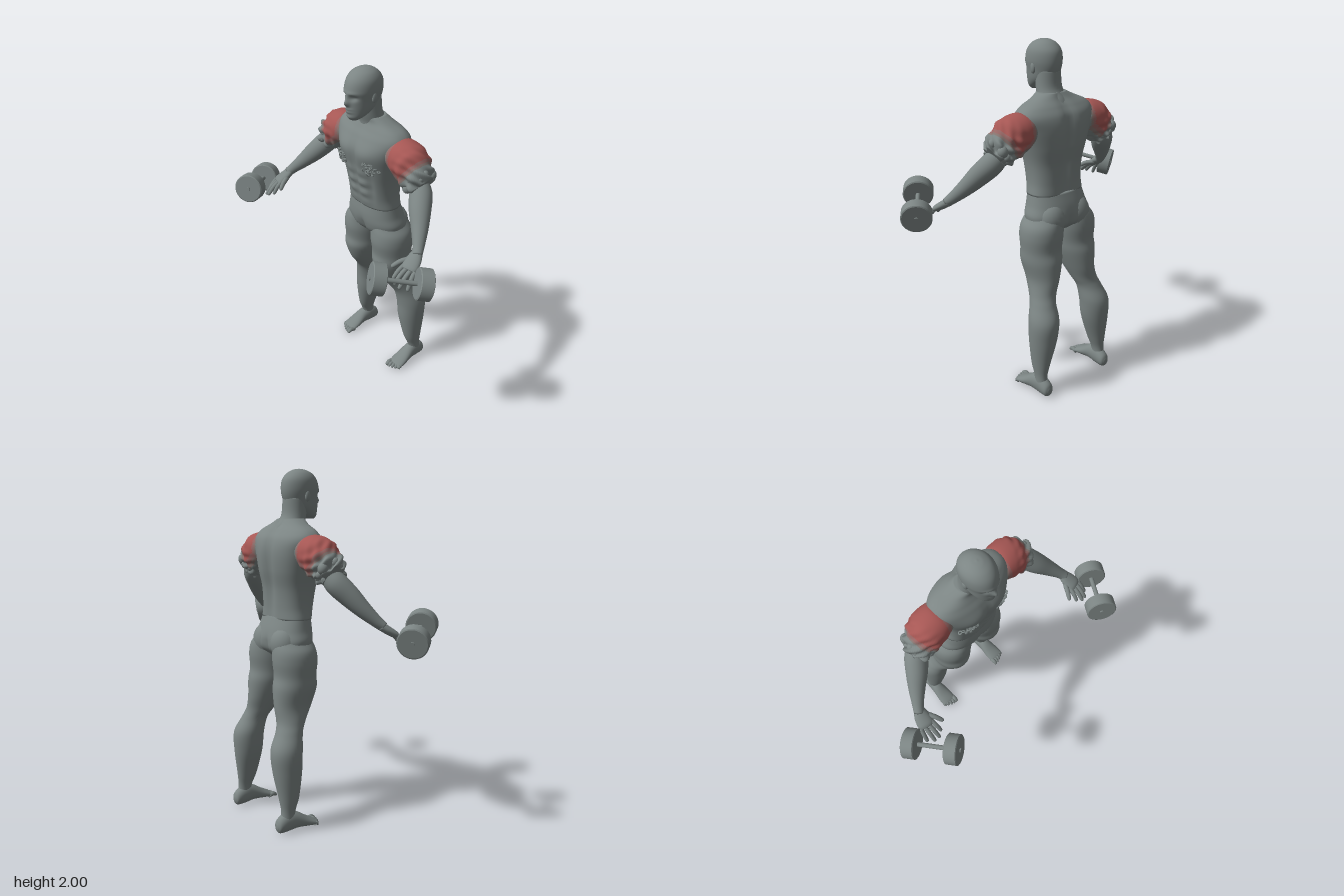
import * as THREE from 'three';

const V = (x, y, z) => new THREE.Vector3(x, y, z);
const mat = (name, hex) => {
  const m = new THREE.MeshStandardMaterial({ color: hex });
  m.name = name;
  return m;
};
const bump = (d, w) => Math.exp(-(d * d) / (w * w));
const Y = V(0, 1, 0), X = V(1, 0, 0), Z = V(0, 0, 1);

// Smooth closed skin through rows of [x, y, z, half width along side, half width across]
function loft(rows, { n = Y, side = X, seg = 32, steps = 6, pow = 1, warp, paint } = {}) {
  n = n.clone().normalize();
  const s = side.clone().addScaledVector(n, -side.dot(n)).normalize();
  const w = s.clone().cross(n);
  const mid = new THREE.CatmullRomCurve3(rows.map(r => V(r[0], r[1], r[2])), false, 'catmullrom');
  const size = new THREE.CatmullRomCurve3(rows.map(r => V(r[3], r[4], 0)), false, 'catmullrom');
  const count = (rows.length - 1) * steps, pts = [], tris = [];
  const sp = v => Math.sign(v) * Math.abs(v) ** pow;
  for (let i = 0; i <= count; i++) {
    const c = mid.getPoint(i / count), r = size.getPoint(i / count);
    for (let j = 0; j < seg; j++) {
      const a = j / seg * Math.PI * 2;
      const d = s.clone().multiplyScalar(r.x * sp(Math.cos(a))).addScaledVector(w, r.y * sp(Math.sin(a)));
      const p = c.clone().add(d);
      if (warp) warp(p, d.normalize(), i / count);
      pts.push(p);
    }
  }
  for (let i = 0; i < count; i++) for (let j = 0; j < seg; j++) {
    const a = i * seg + j, b = i * seg + (j + 1) % seg;
    tris.push([a, a + seg, b], [a + seg, b + seg, b]);
  }
  const first = pts.push(mid.getPoint(0)) - 1, last = pts.push(mid.getPoint(1)) - 1;
  for (let j = 0; j < seg; j++) {
    const k = (j + 1) % seg, e = count * seg;
    tris.push([first, j, k], [last, e + k, e + j]);
  }
  const g = new THREE.BufferGeometry().setFromPoints(pts);
  if (paint) {
    const key = t => paint(pts[t[0]].clone().add(pts[t[1]]).add(pts[t[2]]).divideScalar(3));
    const sets = [[], [], [], []];
    tris.forEach(t => sets[key(t)].push(t));
    let start = 0;
    sets.forEach((q, k) => { g.addGroup(start, q.length * 3, k); start += q.length * 3; });
    g.setIndex(sets.flat(2));
  } else g.setIndex(tris.flat());
  g.computeVertexNormals();
  return g;
}

function ball(x, y, z, rx, ry, rz) {
  return new THREE.SphereGeometry(1, 20, 14).scale(rx, ry, rz).translate(x, y, z);
}

// Finger or toe: tapered rounded tube between two points
function digit(a, b, r) {
  const m = a.clone().lerp(b, 0.55).add(V(0, 0.008, 0)), e = a.clone().lerp(b, 0.92);
  const row = (p, k) => [p.x, p.y, p.z, r * k, r * k];
  return loft([row(a, 1), row(m, 1), row(e, 0.8), row(b, 0.15)], { n: b.clone().sub(a), seg: 10, steps: 4 });
}

export function createModel() {
  const model = new THREE.Group();
  const grey = mat('grey', 0x7c8584), red = mat('muscle red', 0xa65754);
  const blush = mat('faded red', 0x976765), haze = mat('reddish grey', 0x87746f);
  const add = (parent, name, geo, m = grey) => {
    const mesh = new THREE.Mesh(geo, m);
    mesh.name = name;
    parent.add(mesh);
  };

  // Torso with chest, stomach and spine relief
  add(model, 'torso', loft([
    [0, 1.18, -0.165, 0.175, 0.107], [0, 1.25, -0.157, 0.166, 0.115], [0, 1.35, -0.15, 0.172, 0.128],
    [0, 1.45, -0.15, 0.195, 0.145], [0, 1.55, -0.148, 0.226, 0.15], [0, 1.62, -0.152, 0.246, 0.13],
    [0, 1.665, -0.15, 0.216, 0.1], [0, 1.7, -0.142, 0.14, 0.075], [0, 1.73, -0.13, 0.08, 0.066],
  ], {
    seg: 72, steps: 8, pow: 0.85, warp: (p, d) => {
      const ax = Math.abs(p.x), f = Math.max(0, d.z), b = Math.max(0, -d.z);
      p.z += f * 0.016 * bump(ax - 0.1, 0.08) * bump(p.y - 1.53, 0.06);
      p.z -= f * 0.012 * bump(ax, 0.016) * bump(p.y - 1.42, 0.18);
      const abs = bump(p.y - 1.32, 0.09) * bump(ax - 0.045, 0.04);
      p.z += f * abs * 0.006 * Math.cos((p.y - 1.345) * Math.PI * 2 / 0.07);
      p.z -= f * 0.012 * bump(ax - 0.1, 0.018) * bump(p.y - 1.33, 0.1);
      p.z += b * 0.03 * bump(ax, 0.035) * bump(p.y - 1.43, 0.25);
    }
  }));
  add(model, 'neck', loft([
    [0, 1.62, -0.16, 0.11, 0.1], [0, 1.69, -0.14, 0.086, 0.08],
    [0, 1.75, -0.113, 0.074, 0.068], [0, 1.85, -0.1, 0.07, 0.072],
  ]));

  // Head with nose, eye sockets, lips and chin
  add(model, 'head', loft([
    [0, 1.728, -0.005, 0.028, 0.026], [0, 1.75, -0.022, 0.052, 0.054], [0, 1.79, -0.055, 0.071, 0.092],
    [0, 1.84, -0.067, 0.08, 0.108], [0, 1.89, -0.07, 0.088, 0.114], [0, 1.94, -0.073, 0.084, 0.103],
    [0, 1.975, -0.073, 0.064, 0.074], [0, 1.994, -0.075, 0.033, 0.038], [0, 2, -0.075, 0.003, 0.003],
  ], {
    seg: 72, steps: 8, warp: (p, d) => {
      if (d.z < 0.2) return;
      const ax = Math.abs(p.x);
      p.z += 0.021 * bump(ax, 0.014) * bump(p.y - 1.825, 0.018);
      p.z += 0.009 * bump(ax, 0.011) * bump(p.y - 1.85, 0.022);
      p.z -= 0.014 * bump(ax - 0.034, 0.02) * bump(p.y - 1.858, 0.014);
      p.z += 0.005 * bump(ax - 0.03, 0.03) * bump(p.y - 1.882, 0.01);
      p.z += 0.007 * bump(ax, 0.024) * (bump(p.y - 1.792, 0.007) + bump(p.y - 1.776, 0.007));
      p.z += 0.006 * bump(ax, 0.025) * bump(p.y - 1.745, 0.014);
    }
  }));

  // Hips
  add(model, 'pelvis', loft([
    [0, 0.965, -0.19, 0.07, 0.07], [0, 1.01, -0.192, 0.18, 0.115], [0, 1.06, -0.186, 0.204, 0.126],
    [0, 1.12, -0.176, 0.186, 0.121], [0, 1.19, -0.165, 0.17, 0.105],
  ], {
    seg: 56, steps: 8, pow: 0.88, warp: (p, d) => {
      p.z -= Math.sign(d.z) * Math.abs(d.z) * 0.02 * bump(p.x, 0.02) * bump(p.y - 1.02, 0.05);
    }
  }));

  const left = new THREE.Group();
  left.name = 'leftSide';
  add(left, 'ear', ball(0.081, 1.853, -0.075, 0.011, 0.03, 0.017));
  add(left, 'buttock', ball(0.088, 1.045, -0.235, 0.092, 0.1, 0.084));

  // Leg
  add(left, 'leg', loft([
    [0.236, 0.05, -0.33, 0.034, 0.045], [0.233, 0.12, -0.322, 0.034, 0.043], [0.225, 0.2, -0.312, 0.05, 0.062],
    [0.208, 0.35, -0.31, 0.078, 0.086], [0.2, 0.47, -0.308, 0.085, 0.092], [0.182, 0.56, -0.278, 0.073, 0.079],
    [0.16, 0.62, -0.25, 0.076, 0.086], [0.138, 0.7, -0.222, 0.086, 0.114], [0.13, 0.8, -0.202, 0.11, 0.131],
    [0.126, 0.87, -0.197, 0.115, 0.122], [0.123, 0.95, -0.195, 0.121, 0.13], [0.117, 1.01, -0.195, 0.115, 0.126],
    [0.1, 1.06, -0.192, 0.094, 0.112], [0.098, 1.12, -0.18, 0.06, 0.08],
  ], { seg: 40 }));

  // Foot and toes
  add(left, 'foot', loft([
    [0.232, 0.042, -0.402, 0.012, 0.014], [0.232, 0.046, -0.385, 0.033, 0.042], [0.233, 0.06, -0.33, 0.039, 0.058],
    [0.236, 0.058, -0.275, 0.042, 0.05], [0.238, 0.036, -0.21, 0.05, 0.031], [0.24, 0.02, -0.16, 0.05, 0.018],
    [0.24, 0.015, -0.145, 0.042, 0.01],
  ], { n: Z }));
  for (let i = 0; i < 5; i++) {
    const x = 0.2 + i * 0.02;
    add(left, 'toe', digit(V(x, 0.016, -0.17), V(x + 0.002, 0.011, -0.115 - i * i * 0.0022), i ? 0.0105 : 0.014));
  }

  // Upper arm, crumpled towards the elbow; red on the shoulder cap, fading out all round
  add(left, 'upperArm', loft([
    [0.15, 1.585, -0.15, 0.06, 0.06], [0.2, 1.575, -0.15, 0.094, 0.092], [0.275, 1.54, -0.15, 0.109, 0.11],
    [0.33, 1.5, -0.148, 0.1, 0.1], [0.375, 1.463, -0.143, 0.08, 0.085], [0.405, 1.435, -0.138, 0.062, 0.066],
  ], {
    n: V(0.82, -0.57, 0), side: Z, seg: 64, steps: 11,
    warp: (p, d, t) => {
      const k = 0.018 * Math.max(0, t - 0.3);
      p.addScaledVector(d, k * (Math.sin(p.x * 95 + p.z * 60) + Math.sin(p.y * 110 - p.z * 85)));
    },
    paint: p => {
      // Position along the arm and height above its axis
      const u = 0.82 * (p.x - 0.28) - 0.57 * (p.y - 1.535), v = 0.57 * (p.x - 0.28) + 0.82 * (p.y - 1.535);
      const edge = Math.min(p.x - 0.2, 0.085 - u, (v + 0.075) * 0.7);
      return edge < 0 ? 0 : edge < 0.012 ? 1 : edge < 0.028 ? 2 : 3;
    }
  }), [grey, haze, blush, red]);

  // Ragged folds around the end of the upper arm
  const dir = V(0.82, -0.57, 0), up = V(0.57, 0.82, 0);
  for (let i = 0; i < 11; i++) {
    const a = i / 11 * Math.PI * 2, r = 0.064 + 0.01 * Math.sin(i * 5);
    const p = V(0.374, 1.462, -0.143).addScaledVector(dir, 0.016 * Math.sin(i * 2.4))
      .addScaledVector(up, r * Math.cos(a)).addScaledVector(Z, r * Math.sin(a));
    const s = 0.024 + 0.005 * Math.sin(i * 3.7);
    add(left, 'armFold', ball(p.x, p.y, p.z, s, s * 1.1, s));
  }

  // Crumpled patch under the chest
  for (let i = 0; i < 16; i++) {
    const a = i * 2.4, r = 0.0125 * Math.sqrt(i);
    const x = 0.118 + r * Math.cos(a) * 1.15, y = 1.467 + r * Math.sin(a) * 0.8;
    const g = new THREE.TorusGeometry(0.009, 0.004, 6, 10);
    g.rotateX(i * 1.3).rotateY(i * 0.9).translate(x, y, -5 * (x - 0.09) ** 2 - (1.5 - y) * 0.2);
    add(left, 'chestFold', g);
  }

  // Forearm, palm, fingers and thumb
  add(left, 'forearm', loft([
    [0.36, 1.46, -0.16, 0.045, 0.05], [0.405, 1.405, -0.13, 0.062, 0.062], [0.455, 1.34, -0.08, 0.06, 0.058],
    [0.51, 1.27, -0.03, 0.046, 0.045], [0.558, 1.21, 0.02, 0.032, 0.032], [0.58, 1.18, 0.05, 0.03, 0.026],
  ], { n: V(0.17, -0.21, 0.18) }));
  add(left, 'palm', loft([
    [0.572, 1.19, 0.035, 0.028, 0.024], [0.583, 1.165, 0.07, 0.042, 0.023],
    [0.594, 1.14, 0.11, 0.046, 0.02], [0.598, 1.13, 0.128, 0.036, 0.012],
  ], { n: V(0.02, -0.06, 0.09), side: V(1, -0.2, 0), seg: 20 }));
  for (let i = 0; i < 4; i++) {
    const tip = V(0.553 + i * 0.031, 1.08 - i * 0.012, [0.19, 0.21, 0.205, 0.172][i]);
    add(left, 'finger', digit(V(0.562 + i * 0.023, 1.145 - i * 0.005, 0.11), tip, 0.0125));
  }
  add(left, 'thumb', digit(V(0.56, 1.16, 0.07), V(0.51, 1.12, 0.165), 0.014));

  // Dumbbell: handle and two bevelled weights
  const A = V(0.587, 1.165, 0.327), B = V(0.722, 1.115, 0.132);
  const axis = A.clone().sub(B), len = axis.length();
  const turn = new THREE.Quaternion().setFromUnitVectors(Y, axis.normalize());
  const place = g => g.applyQuaternion(turn).translate((A.x + B.x) / 2, (A.y + B.y) / 2, (A.z + B.z) / 2);
  add(left, 'dumbbellHandle', place(new THREE.CylinderGeometry(0.013, 0.013, len + 0.085, 16)));
  for (const k of [-1, 1]) {
    const parts = [[0.064, 0.085], [0.004, 0.085, 0.079, 0.034], [0.004, 0.079, 0.085, -0.034]];
    for (const [h, bottom, top = bottom, off = 0] of parts)
      add(left, 'dumbbellWeight', place(new THREE.CylinderGeometry(top, bottom, h, 40).translate(0, k * len / 2 + off, 0)));
  }
  model.add(left);

  // Mirror everything on the left to the right
  const right = new THREE.Group();
  right.name = 'rightSide';
  left.children.forEach(m => {
    const g = m.geometry.clone().scale(-1, 1, 1), ix = g.index.array;
    for (let i = 0; i < ix.length; i += 3) [ix[i], ix[i + 1]] = [ix[i + 1], ix[i]];
    g.computeVertexNormals();
    add(right, m.name, g, m.material);
  });
  model.add(right);
  return model;
}
